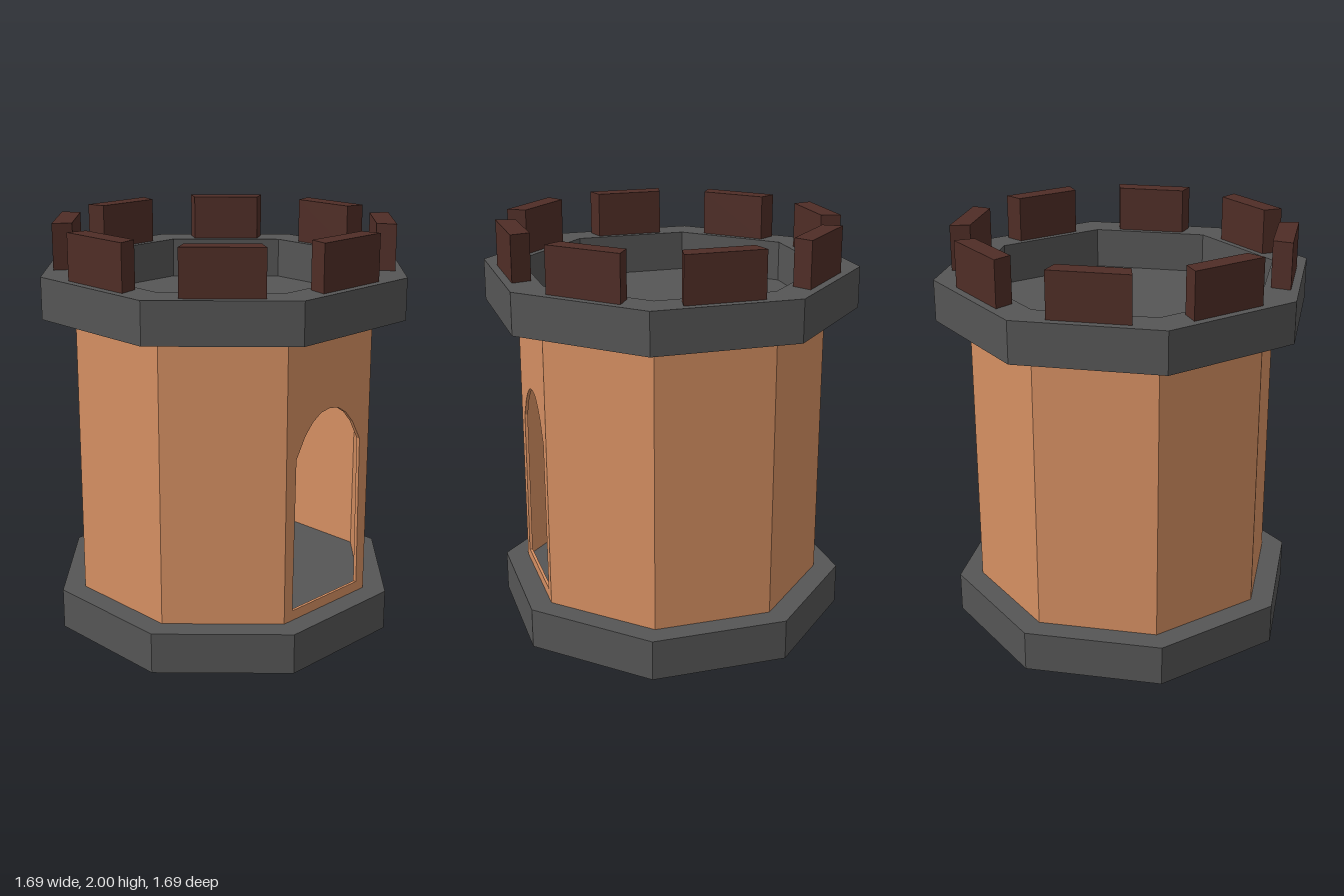
import * as THREE from 'three';

const STEP = Math.PI / 4;
const stone = new THREE.MeshStandardMaterial({ color: 0x555555, flatShading: true });
const brick = new THREE.MeshStandardMaterial({ color: 0xd58f62, flatShading: true });
const wood = new THREE.MeshStandardMaterial({ color: 0x4f2d26, flatShading: true });

function addMesh(parent, name, geometry, material) {
  const mesh = new THREE.Mesh(geometry, material);
  mesh.name = name;
  parent.add(mesh);
  return mesh;
}

// Eight-sided lathe with flat faces toward +z and +x
function octagon(points) {
  const profile = points.map(([r, y]) => new THREE.Vector2(r, y));
  return new THREE.LatheGeometry(profile, 8, STEP / 2, Math.PI * 2).toNonIndexed();
}

// One wall face, mitred at its ends, with an optional arched doorway
function wallPanel(hasDoor) {
  const outer = 0.75, inner = 0.735, bottom = 0.2, top = 1.58;
  const half = outer * Math.sin(STEP / 2);
  const face = outer * Math.cos(STEP / 2);
  const depth = (outer - inner) * Math.cos(STEP / 2);
  const shape = new THREE.Shape([
    new THREE.Vector2(-half, bottom), new THREE.Vector2(half, bottom),
    new THREE.Vector2(half, top), new THREE.Vector2(-half, top),
  ]);
  if (hasDoor) {
    const arch = [[-0.232, 0.25], [-0.222, 1], [-0.165, 1.1], [-0.115, 1.155], [-0.06, 1.19], [0, 1.2]];
    const right = arch.slice(0, -1).reverse().map(([x, y]) => [-x, y]);
    shape.holes.push(new THREE.Path([...arch, ...right].map(([x, y]) => new THREE.Vector2(x, y))));
  }
  const geometry = new THREE.ExtrudeGeometry(shape, { depth, bevelEnabled: false });
  const p = geometry.attributes.position;
  for (let i = 0; i < p.count; i++) {
    if (p.getZ(i) < depth / 2) p.setX(i, p.getX(i) * inner / outer);
  }
  geometry.translate(0, 0, face - depth);
  geometry.computeVertexNormals();
  return geometry;
}

export function createModel() {
  const tower = new THREE.Group();
  tower.name = 'tower';

  // Hollow plinth with a thin rim underneath
  addMesh(tower, 'plinth', octagon([
    [0, 0.185], [0.845, 0.185], [0.845, 0],
  ]), stone);
  addMesh(tower, 'plinthOutside', octagon([[0.865, 0], [0.865, 0.2], [0, 0.2]]), stone);
  addMesh(tower, 'plinthRim', octagon([[0.845, 0], [0.865, 0]]), brick);

  // Eight wall faces, the doorway on the front left one
  const walls = new THREE.Group();
  walls.name = 'walls';
  tower.add(walls);
  for (let i = 0; i < 8; i++) {
    const hasDoor = i === 1;
    addMesh(walls, hasDoor ? 'doorWall' : 'wall', wallPanel(hasDoor), brick).rotation.y = i * STEP;
  }

  // Parapet ring and the roof deck inside it
  addMesh(tower, 'parapet', octagon([
    [0.735, 1.58], [0.91, 1.58], [0.91, 1.78], [0.735, 1.78], [0.735, 1.58],
  ]), stone);
  addMesh(tower, 'roofDeck', octagon([[0, 1.58], [0.735, 1.58], [0.735, 1.581], [0, 1.581]]), stone);

  // Battlement blocks, one per side, with radial ends
  const block = new THREE.ExtrudeGeometry(new THREE.Shape([
    new THREE.Vector2(-0.188, -0.803), new THREE.Vector2(0.188, -0.803),
    new THREE.Vector2(0.166, -0.71), new THREE.Vector2(-0.166, -0.71),
  ]), { depth: 0.22, bevelEnabled: false });
  block.rotateX(-Math.PI / 2).translate(0, 1.78, 0);
  const battlements = new THREE.Group();
  battlements.name = 'battlements';
  tower.add(battlements);
  for (let i = 0; i < 8; i++) {
    addMesh(battlements, 'battlement', block, wood).rotation.y = i * STEP;
  }

  // The tower stands turned by about one degree
  tower.rotation.y = -Math.PI / 180;
  const model = new THREE.Group();
  model.name = 'castleTower';
  model.add(tower);
  return model;
}
